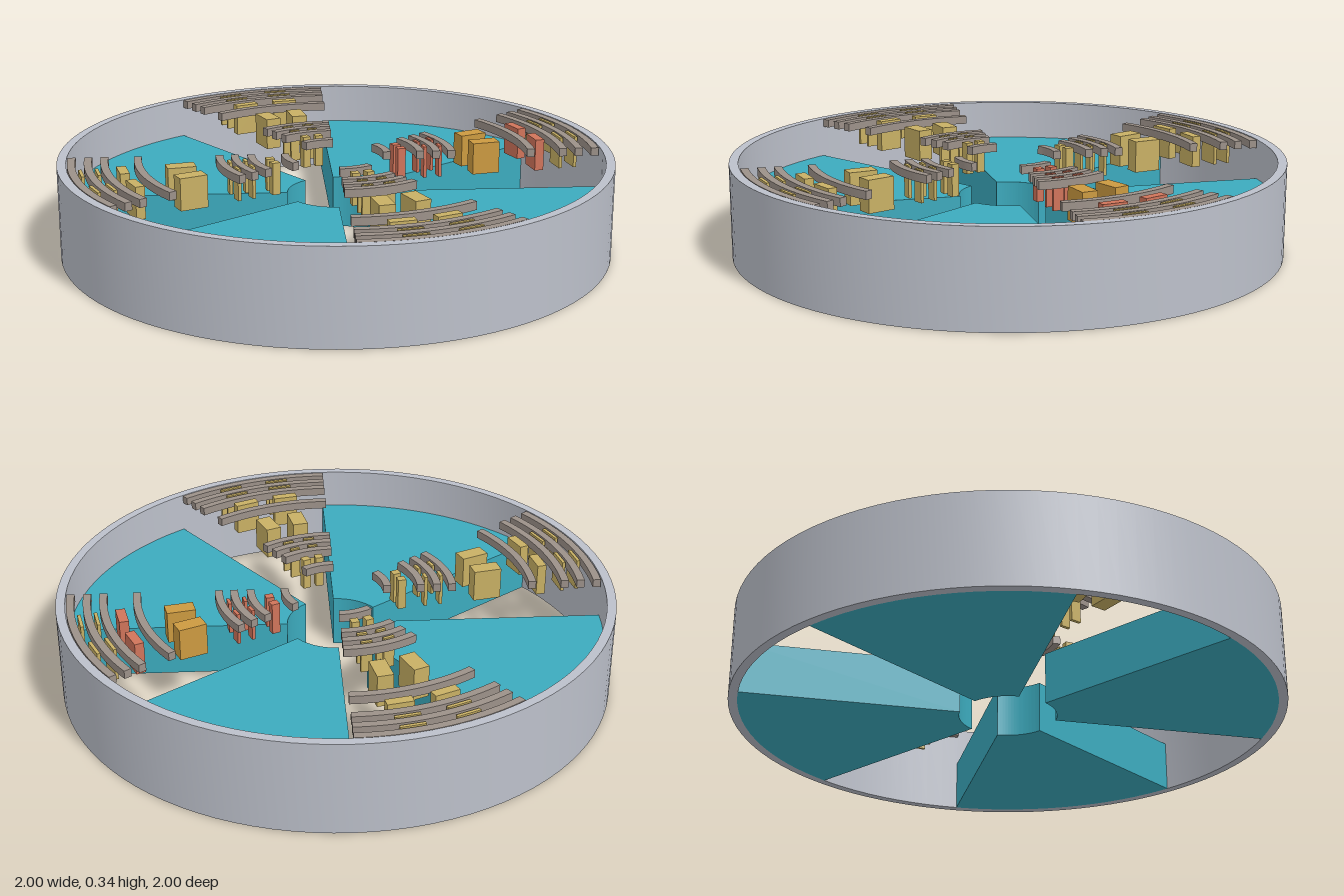
import * as THREE from 'three';
import { toCreasedNormals } from 'three/addons/utils/BufferGeometryUtils.js';

const DEG = Math.PI / 180;

function material(name, color) {
  const m = new THREE.MeshStandardMaterial({ color });
  m.name = name;
  return m;
}

// Solid ring sector lying flat: radii r0..r1, angles a0..a1 (degrees from +x towards -z), heights y0..y1
function sector(r0, r1, a0, a1, y0, y1, segments) {
  const shape = new THREE.Shape();
  shape.absarc(0, 0, r1, a0 * DEG, a1 * DEG, false);
  shape.absarc(0, 0, r0, a1 * DEG, a0 * DEG, true);
  shape.closePath();
  const geo = new THREE.ExtrudeGeometry(shape, { depth: y1 - y0, bevelEnabled: false, curveSegments: segments });
  geo.rotateX(-Math.PI / 2);
  geo.translate(0, y0, 0);
  return toCreasedNormals(geo, 30 * DEG);
}

export function createModel() {
  const model = new THREE.Group();
  model.name = 'segmentedRing';

  const grey = material('rim grey', 0xbcc0ca);
  const teal = material('teal', 0x3cabbe);
  const stone = material('rib taupe', 0x9c9189);
  const gold = material('gold', 0xc8b064);
  const orange = material('orange', 0xcc9a40);
  const coral = material('coral', 0xd0745a);

  const add = (parent, name, geo, mat) => {
    const mesh = new THREE.Mesh(geo, mat);
    mesh.name = name;
    parent.add(mesh);
    return mesh;
  };

  // Outer rim
  const H = 0.342, inner = 0.967;
  const profile = [[inner, 0], [1, 0], [1, H], [inner, H], [inner, 0]].map(p => new THREE.Vector2(...p));
  add(model, 'outerRim', toCreasedNormals(new THREE.LatheGeometry(profile, 96), 30 * DEG), grey);

  // Curved ribs: middle radii
  const ribRadii = [0.185, 0.307, 0.366, 0.421, 0.713, 0.832, 0.89, 0.949];
  const ribGeos = ribRadii.map(r => sector(r - 0.014, r + 0.014, 0, 36, 0.311, 0.341, 16));
  const wedgeGeo = sector(0.177, inner, 36, 90, 0, 0.193, 24);

  // Blocks: radius, radial size, tangential size, accent colour used in the first bay
  const blocks = [
    [0.246, 0.030, 0.029, coral],
    [0.336, 0.012, 0.036, coral],
    [0.393, 0.012, 0.040, coral],
    [0.570, 0.103, 0.058, orange],
    [0.775, 0.034, 0.092, coral],
    [0.862, 0.012, 0.088, gold],
    [0.920, 0.012, 0.088, gold],
  ];

  // Four quarters, each with an open bay and a solid wedge
  for (let q = 0; q < 4; q++) {
    const quarter = new THREE.Group();
    quarter.name = 'quarter' + (q + 1);
    quarter.rotation.y = q * Math.PI / 2;
    model.add(quarter);

    add(quarter, 'wedge', wedgeGeo, teal);
    ribGeos.forEach(geo => add(quarter, 'curvedRib', geo, stone));

    for (const [r, radial, tangential, accent] of blocks) {
      for (const angle of [12, 24]) {
        const geo = new THREE.BoxGeometry(radial, 0.118, tangential);
        const block = add(quarter, 'block', geo, q === 0 ? accent : gold);
        block.position.set(r * Math.cos(angle * DEG), 0.282, -r * Math.sin(angle * DEG));
        block.rotation.y = angle * DEG;
      }
    }
  }
  return model;
}
